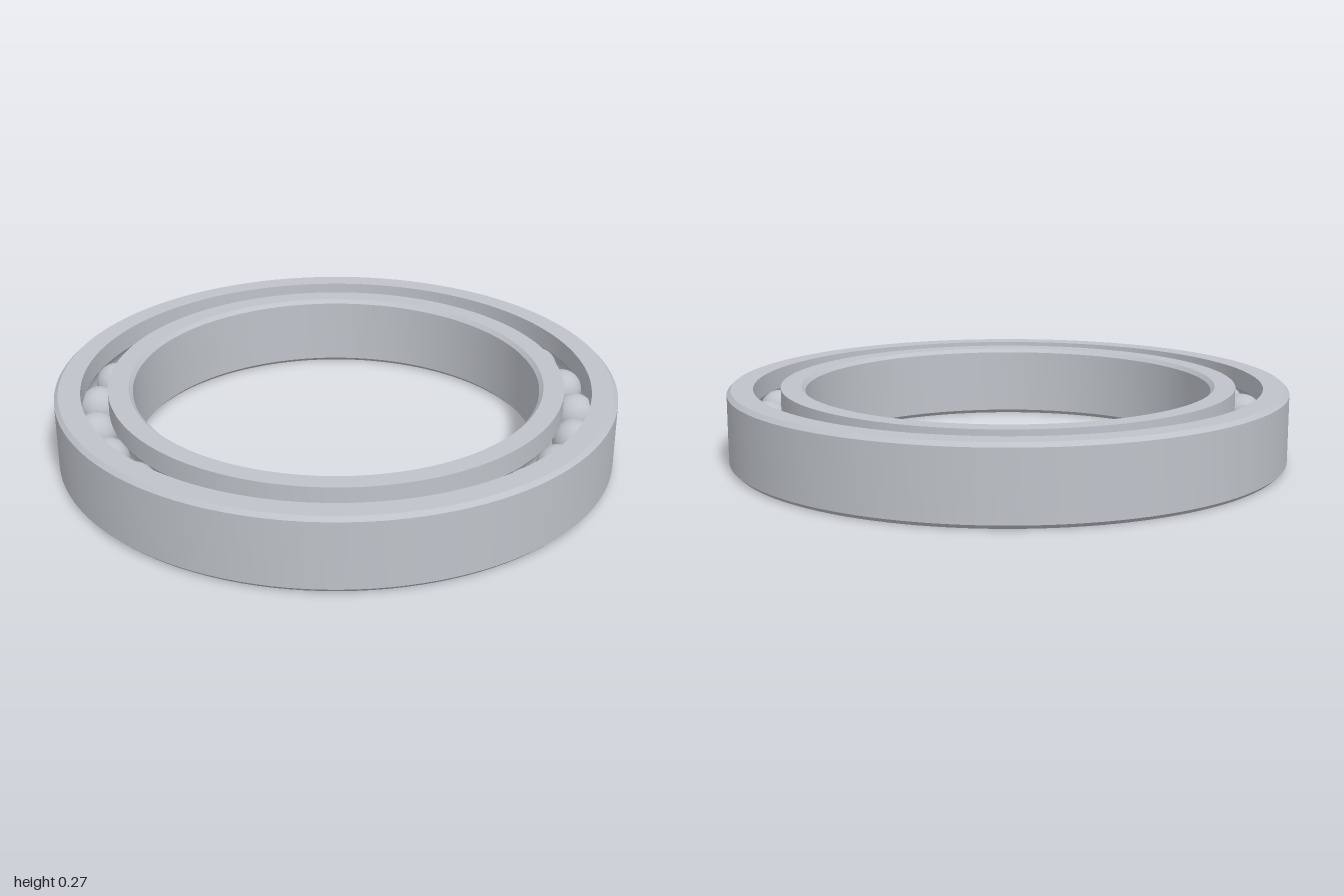
import * as THREE from 'three';
import { toCreasedNormals } from 'three/addons/utils/BufferGeometryUtils.js';

const HEIGHT = 0.267, CHAMFER = 0.014;
const PITCH = 0.86, BALL_RADIUS = 0.074, BALL_COUNT = 26;
const OUTER = 1, OUTER_LIP = 0.908, INNER_LIP = 0.812, BORE = 0.725;

const steel = new THREE.MeshStandardMaterial({ color: 0xbfc3c9 });
steel.name = 'steel';

// Ball groove in section; side is +1 for the outer ring, -1 for the inner ring
function groove(lip, side) {
  const radius = BALL_RADIUS + 0.001;
  const half = Math.acos(Math.abs(lip - PITCH) / radius);
  const points = [];
  for (let i = 0; i <= 12; i++) {
    const a = half * (1 - i / 6) * side;
    points.push([PITCH + side * radius * Math.cos(a), HEIGHT / 2 + radius * Math.sin(a)]);
  }
  return points;
}

// Revolves a closed section, listed counterclockwise, keeping its edges sharp
function ring(name, section) {
  const points = [...section, section[0]].map(([r, y]) => new THREE.Vector2(r, y));
  const geometry = toCreasedNormals(new THREE.LatheGeometry(points, 120), 0.5);
  const mesh = new THREE.Mesh(geometry, steel);
  mesh.name = name;
  return mesh;
}

export function createModel() {
  const model = new THREE.Group();
  model.name = 'ballBearing';

  // Outer race, chamfered on its outside
  model.add(ring('outerRace', [
    [OUTER - CHAMFER, 0], [OUTER, CHAMFER],
    [OUTER, HEIGHT - CHAMFER], [OUTER - CHAMFER, HEIGHT],
    [OUTER_LIP, HEIGHT], ...groove(OUTER_LIP, 1), [OUTER_LIP, 0],
  ]));

  // Inner race, chamfered at the bore
  model.add(ring('innerRace', [
    [INNER_LIP, 0], ...groove(INNER_LIP, -1), [INNER_LIP, HEIGHT],
    [BORE + CHAMFER, HEIGHT], [BORE, HEIGHT - CHAMFER],
    [BORE, CHAMFER], [BORE + CHAMFER, 0],
  ]));

  // Balls evenly spaced between the races
  const balls = new THREE.Group();
  balls.name = 'balls';
  const ballGeometry = new THREE.SphereGeometry(BALL_RADIUS, 32, 20);
  for (let i = 0; i < BALL_COUNT; i++) {
    const a = (i / BALL_COUNT) * Math.PI * 2;
    const ball = new THREE.Mesh(ballGeometry, steel);
    ball.name = 'ball';
    ball.position.set(PITCH * Math.cos(a), HEIGHT / 2, PITCH * Math.sin(a));
    balls.add(ball);
  }
  model.add(balls);

  return model;
}
